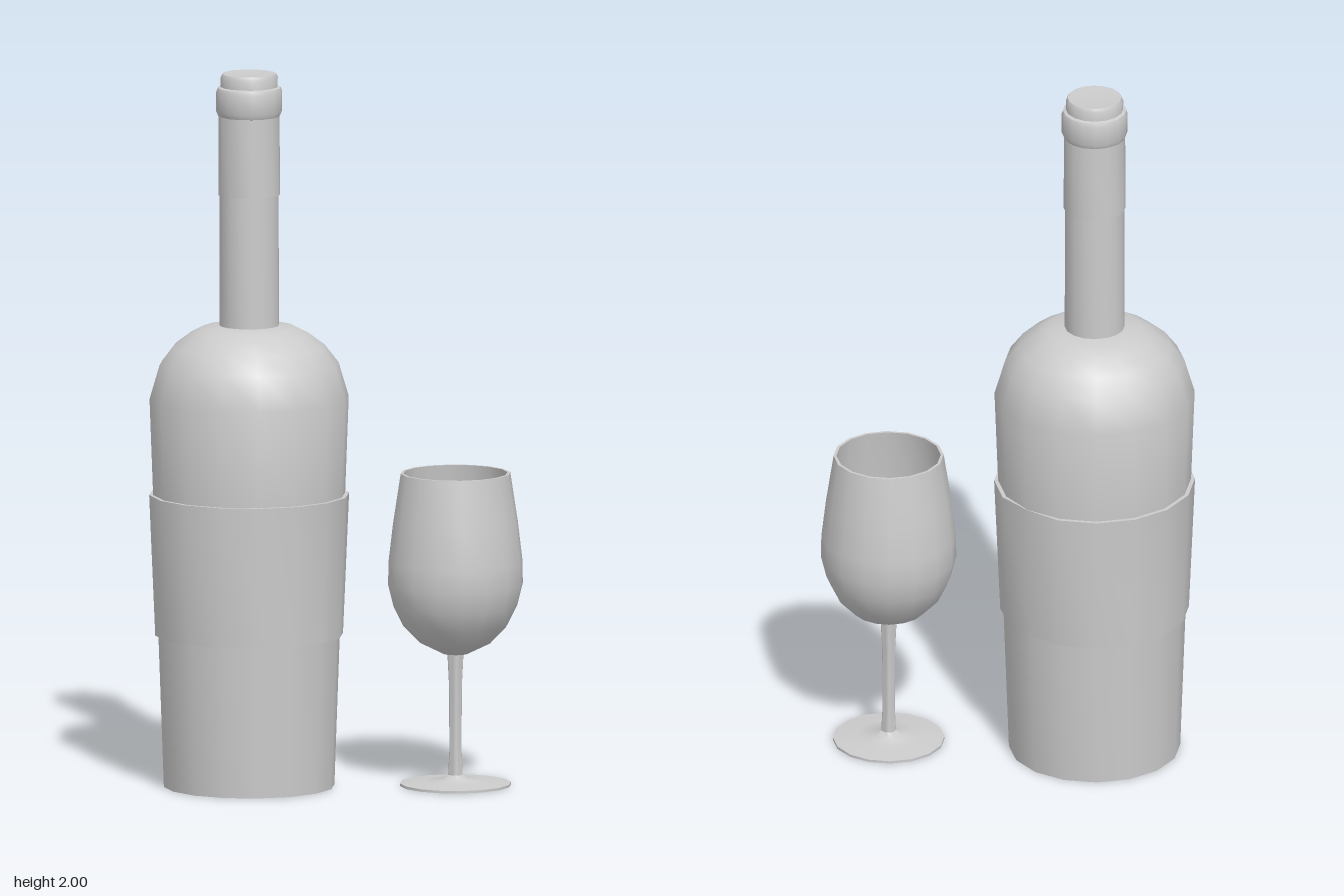
import * as THREE from 'three';
import { toCreasedNormals } from 'three/addons/utils/BufferGeometryUtils.js';

const SIDES = 16;
const material = new THREE.MeshStandardMaterial({ color: 0xcccccc, side: THREE.DoubleSide });

// Turned part from [radius, height] pairs; adjust may change the raw geometry
function turned(name, profile, adjust, crease = 0.8) {
  const points = profile.map(([r, y]) => new THREE.Vector2(r, y));
  const geometry = new THREE.LatheGeometry(points, SIDES);
  if (adjust) adjust(geometry.attributes.position);
  const mesh = new THREE.Mesh(toCreasedNormals(geometry, crease), material);
  mesh.name = name;
  return mesh;
}

// Pulls the vertices on one side (+x or -x) of a sleeve inward, so it blends into the glass
const blendSide = (sign, amount) => (pos) => {
  for (let i = 0; i < pos.count; i++) {
    const x = pos.getX(i), z = pos.getZ(i);
    const r = Math.hypot(x, z);
    if ((sign * x) / r > 0.98) {
      pos.setX(i, x * (r - amount) / r);
      pos.setZ(i, z * (r - amount) / r);
    }
  }
};

function createBottle() {
  const bottle = new THREE.Group();
  bottle.name = 'bottle';
  bottle.add(
    // Tapered body with hollowed underside and rounded shoulder
    turned('bottleBody', [
      [0, 0.09], [0.09, 0.08], [0.17, 0.045], [0.225, 0], [0.238, 0],
      [0.253, 0.42], [0.268, 0.82], [0.278, 1.09], [0.25, 1.185],
      [0.212, 1.235], [0.165, 1.27], [0.13, 1.288], [0.08, 1.294],
    ]),
    turned('bottleNeck', [[0.083, 1.285], [0.082, 1.89]]),
    // Label sleeve, flush with the glass at +x
    turned('label', [[0.25, 0.425], [0.262, 0.425], [0.279, 0.82], [0.265, 0.82]], blendSide(1, 0.009)),
    // Foil sleeve, flush with the glass at -x
    turned('neckFoil', [[0.08, 1.66], [0.086, 1.66], [0.085, 1.89]], blendSide(-1, 0.003)),
    // Rounded collar below the mouth
    turned('collar', [
      [0.078, 1.88], [0.086, 1.882], [0.092, 1.895], [0.092, 1.95], [0.088, 1.961], [0.078, 1.964],
    ]),
    turned('stopper', [[0.079, 1.955], [0.08, 1.99], [0.075, 2], [0.045, 1.998], [0, 1.997]], null, 1)
  );
  bottle.position.set(-0.14, 0, -0.177);
  return bottle;
}

function createGlass() {
  const glass = new THREE.Group();
  glass.name = 'wineGlass';
  glass.add(
    turned('foot', [[0, 0], [0.155, 0], [0.155, 0.007], [0.09, 0.013], [0.035, 0.018], [0.02, 0.03]]),
    turned('stem', [[0.021, 0.015], [0.017, 0.1], [0.018, 0.28], [0.023, 0.38]]),
    // Thin bowl: outer wall up to the rim, inner wall back down
    turned('bowl', [
      [0, 0.365], [0.035, 0.37], [0.1, 0.402], [0.146, 0.45], [0.173, 0.505], [0.188, 0.565],
      [0.187, 0.63], [0.174, 0.74], [0.153, 0.877],
      [0.145, 0.877], [0.166, 0.74], [0.179, 0.63], [0.18, 0.565], [0.165, 0.51],
      [0.139, 0.459], [0.096, 0.414], [0.035, 0.384], [0, 0.38],
    ])
  );
  glass.position.set(0.228, 0, 0.262);
  return glass;
}

export function createModel() {
  const model = new THREE.Group();
  model.name = 'bottleAndGlass';
  model.add(createBottle(), createGlass());
  return model;
}
